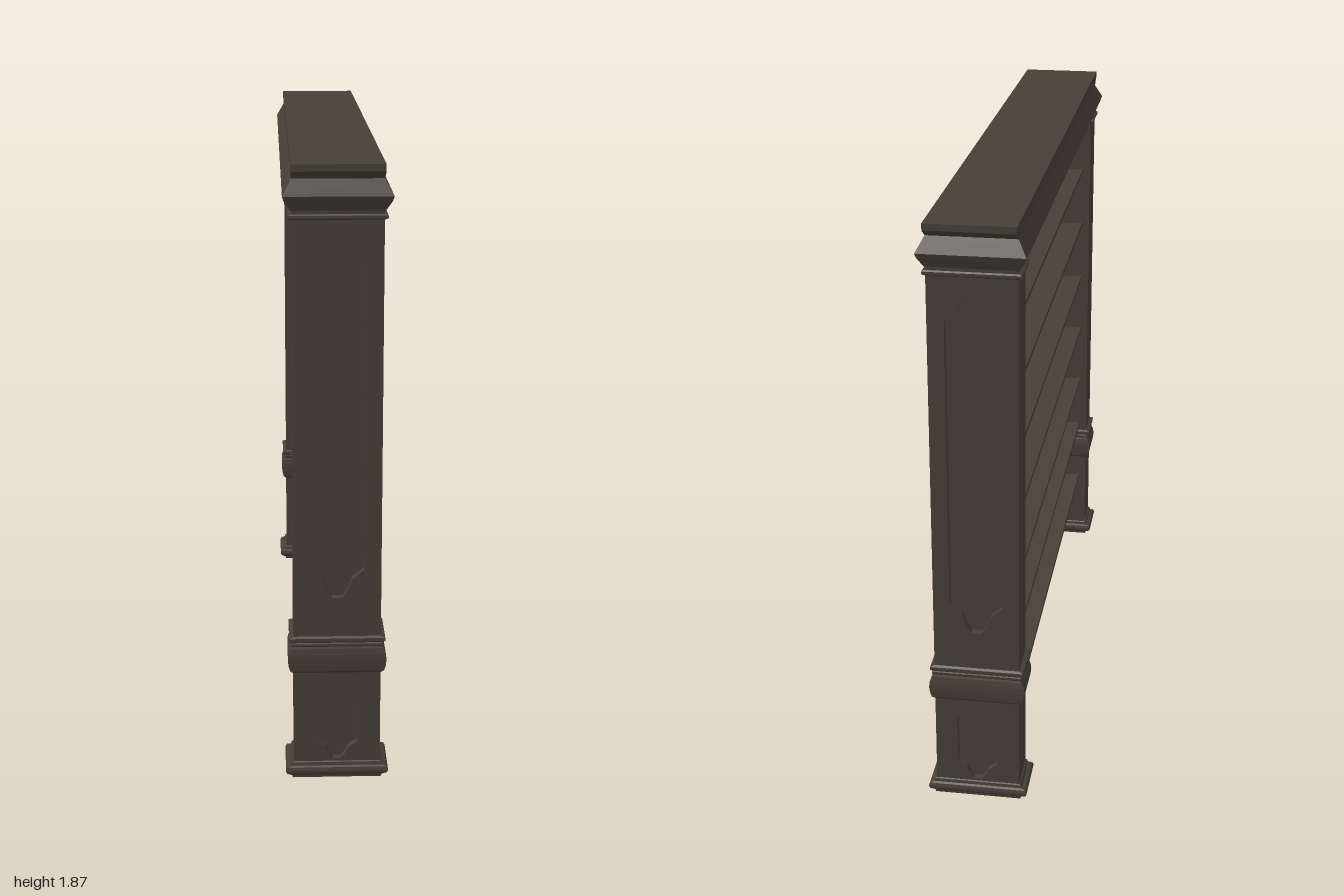
import * as THREE from 'three';

const darkWood = new THREE.MeshStandardMaterial({ color: 0x463f37 });

function add(parent, geometry, name) {
  const mesh = new THREE.Mesh(geometry, darkWood);
  mesh.name = name;
  parent.add(mesh);
  return mesh;
}

// Rectangular rings [halfX, halfZ, y], listed upwards, joined by flat faces
function moulding(rings, capped = true) {
  const p = [];
  const corners = ([x, z, y]) => [[x, y, z], [x, y, -z], [-x, y, -z], [-x, y, z]];
  const quad = (a, b, c, d) => p.push(...a, ...b, ...c, ...a, ...c, ...d);
  for (let i = 0; i < rings.length - 1; i++) {
    const lo = corners(rings[i]), hi = corners(rings[i + 1]);
    for (let k = 0; k < 4; k++) {
      const n = (k + 1) % 4;
      quad(lo[k], lo[n], hi[n], hi[k]);
    }
  }
  if (capped) {
    const [a, b, c, d] = corners(rings[0]);
    quad(d, c, b, a);
  }
  quad(...corners(rings[rings.length - 1]));
  const g = new THREE.BufferGeometry();
  g.setAttribute('position', new THREE.Float32BufferAttribute(p, 3));
  g.computeVertexNormals();
  return g;
}

const PX = 0.13, PZ = 0.0675;
// Moulding round a post: [overhang, y], half as deep along z
const postMoulding = (profile, capped) =>
  moulding(profile.map(([o, y]) => [PX + o, PZ + o * 0.5, y]), capped);

// Long panel outline with shaped, pointed ends
function panelOutline(w, y0, y1, shoulder) {
  const end = [[w, shoulder], [w * 0.8, shoulder * 0.84], [w * 0.55, shoulder * 0.65],
    [w * 0.4, shoulder * 0.3], [w * 0.2, 0]];
  const right = [...end.map(([x, d]) => [x, y1 - d]).reverse(),
    ...end.map(([x, d]) => [x, y0 + d])];
  const left = right.map(([x, y]) => [-x, y]).reverse();
  return new THREE.Path([...right, ...left].map(([x, y]) => new THREE.Vector2(x, y)));
}

function makePost() {
  const post = new THREE.Group();
  const bottom = 0.02, top = 1.745, depth = 0.022;

  // Core, with the panelled face plate in front of it
  const core = new THREE.BoxGeometry(PX * 2, top - bottom, PZ * 2 - depth);
  core.translate(0, (top + bottom) / 2, -depth / 2);
  add(post, core, 'postCore');

  const face = new THREE.Shape([[-PX, bottom], [PX, bottom], [PX, top], [-PX, top]]
    .map(([x, y]) => new THREE.Vector2(x, y)));
  face.holes.push(panelOutline(0.08, 0.585, 1.67, 0.09), panelOutline(0.062, 0.062, 0.337, 0.055));
  const plate = new THREE.ExtrudeGeometry(face, { depth, bevelEnabled: false });
  plate.translate(0, 0, PZ - depth);
  add(post, plate, 'panelledFace');

  // Foot, hollow underneath
  add(post, postMoulding([[-0.02, 0.02], [-0.02, 0], [0.004, 0], [0.006, 0.008], [0.022, 0.017],
    [0.025, 0.026], [0.02, 0.036], [0.008, 0.04], [0.005, 0.05], [0, 0.053]], false), 'foot');

  // Rounded waist collar and the bead above it
  add(post, postMoulding([[0, 0.345], [0.01, 0.352], [0.015, 0.37], [0.017, 0.388], [0.015, 0.406],
    [0.008, 0.424], [0.003, 0.43]]), 'waistCollar');
  add(post, postMoulding([[0.003, 0.43], [0.008, 0.434], [0.008, 0.44], [0.004, 0.443],
    [0.013, 0.448], [0.013, 0.458], [0, 0.463]]), 'waistBead');

  // Thin neck ring below the beam
  add(post, postMoulding([[0, 1.712], [0.01, 1.716], [0.01, 1.724], [0.003, 1.728]]), 'neckRing');
  return post;
}

export function createModel() {
  const model = new THREE.Group();
  model.name = 'slattedDivider';

  // Two matching end posts, panels facing outwards
  for (const s of [1, -1]) {
    const post = makePost();
    post.name = s > 0 ? 'frontPost' : 'backPost';
    post.position.z = s * 0.9025;
    if (s < 0) post.rotation.y = Math.PI;
    model.add(post);
  }

  // Moulded top beam
  add(model, moulding([[0.133, 0.972, 1.738], [0.15, 0.985, 1.765], [0.155, 0.991, 1.78],
    [0.13, 0.965, 1.826], [0.131, 0.998, 1.848], [0.131, 1, 1.85], [0.131, 1, 1.87]]), 'topBeam');

  // Thin slats, tilted slightly towards +x
  for (const y of [0.25, 0.48, 0.672, 0.885, 1.097, 1.31, 1.52]) {
    const slat = add(model, new THREE.BoxGeometry(0.23, 0.011, 1.68), 'slat');
    slat.position.set(0.01, y, 0);
    slat.rotation.z = -0.106;
  }
  return model;
}
